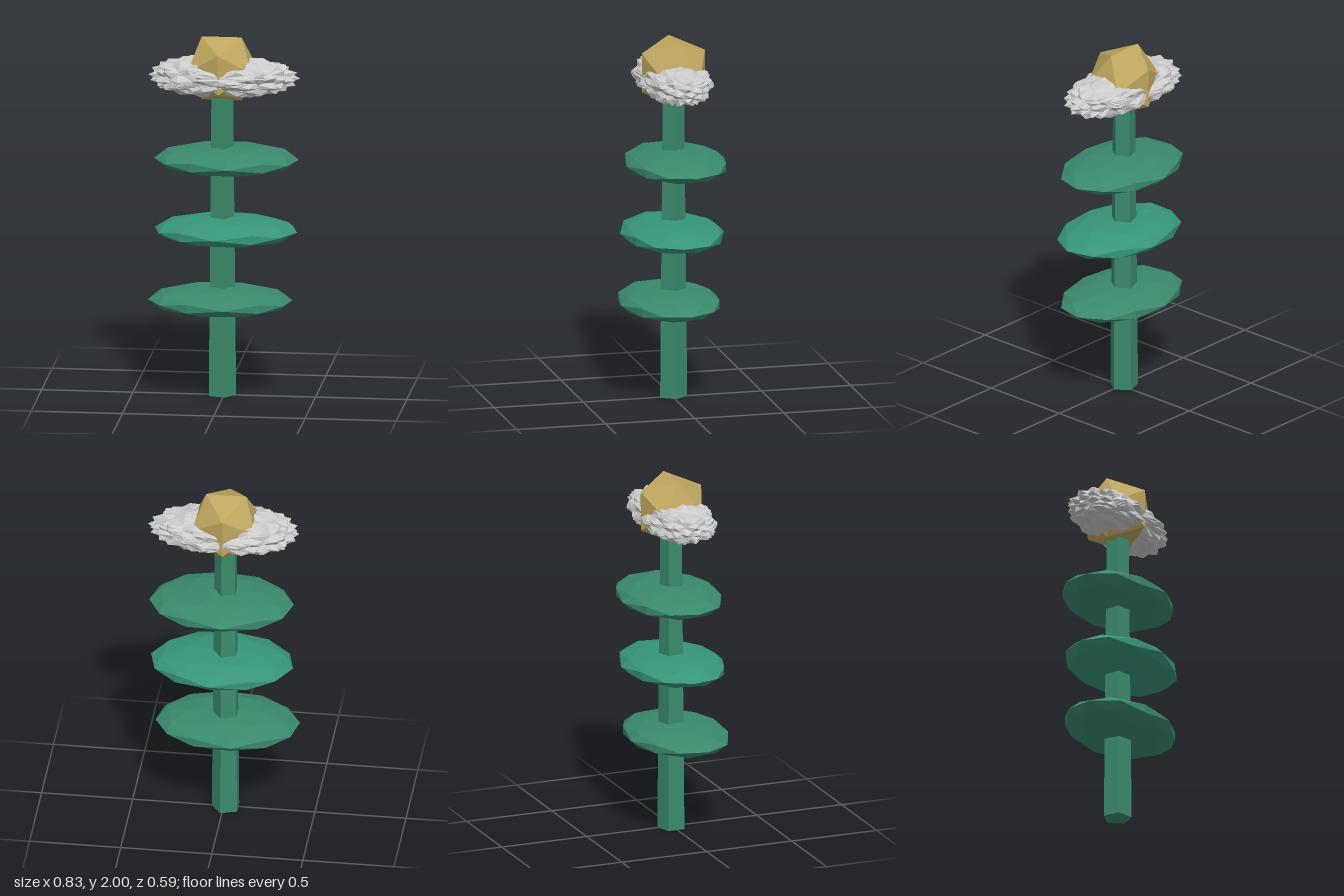
import * as THREE from 'three';

const material = (color) => new THREE.MeshStandardMaterial({ color, flatShading: true });

function addMesh(parent, name, geometry, mat, x, y, z) {
  const mesh = new THREE.Mesh(geometry, mat);
  mesh.name = name;
  mesh.position.set(x, y, z);
  parent.add(mesh);
  return mesh;
}

// One faceted blob of the blossom, turned about the long axis and then flattened
function petalGeometry(turn, yaw, size) {
  const geometry = new THREE.IcosahedronGeometry(size, 0);
  geometry.rotateY(yaw);
  geometry.rotateX(turn);
  const p = geometry.attributes.position;
  for (let i = 0; i < p.count; i++) {
    const x = p.getX(i);
    // blunter on the -x end, pointed on the +x end
    const long = Math.sign(x) * Math.pow(Math.abs(x), x < 0 ? 0.7 : 0.88);
    p.setXYZ(i, long * 0.415, p.getY(i) * 0.113, p.getZ(i) * 0.2);
  }
  geometry.computeVertexNormals();
  return geometry;
}

export function createModel() {
  const model = new THREE.Group();
  const green = material(0x3a8a6c);
  const brightGreen = material(0x36957a);
  const gold = material(0xbfa65f);
  const grey = material(0xcccccc);

  // Five-sided tapering stem with one corner towards +x
  addMesh(model, 'stem',
    new THREE.CylinderGeometry(0.063, 0.08, 1.75, 5, 1, false, Math.PI / 2),
    green, -0.015, 0.875, -0.005);

  // Three flattened leaf discs: x, y, z, turn
  [[-0.02, 0.535, 0.015, 0.12], [0.01, 0.925, 0.005, -0.1], [0.01, 1.317, -0.015, 0.08]]
    .forEach(([x, y, z, turn], i) => {
      const leaf = new THREE.IcosahedronGeometry(1, 1);
      leaf.rotateY(turn);
      leaf.scale(0.395, 0.077, 0.283);
      addMesh(model, `leaf${i + 1}`, leaf, i === 1 ? brightGreen : green, x, y, z);
    });

  // Jagged blossom made of overlapping turned blobs
  const blossom = new THREE.Group();
  blossom.name = 'blossom';
  blossom.position.set(0, 1.78, -0.005);
  model.add(blossom);
  const count = 14;
  for (let i = 0; i < count; i++) {
    const turn = (i / count) * Math.PI * 2;
    const yaw = 0.55 + 0.35 * (i % 3);
    addMesh(blossom, `petal${i + 1}`, petalGeometry(turn, yaw, 1), grey, 0, 0, 0);
  }

  // Faceted flower centre
  addMesh(model, 'flowerCentre', new THREE.IcosahedronGeometry(0.208, 0), gold, -0.015, 1.823, -0.01);

  return model;
}
